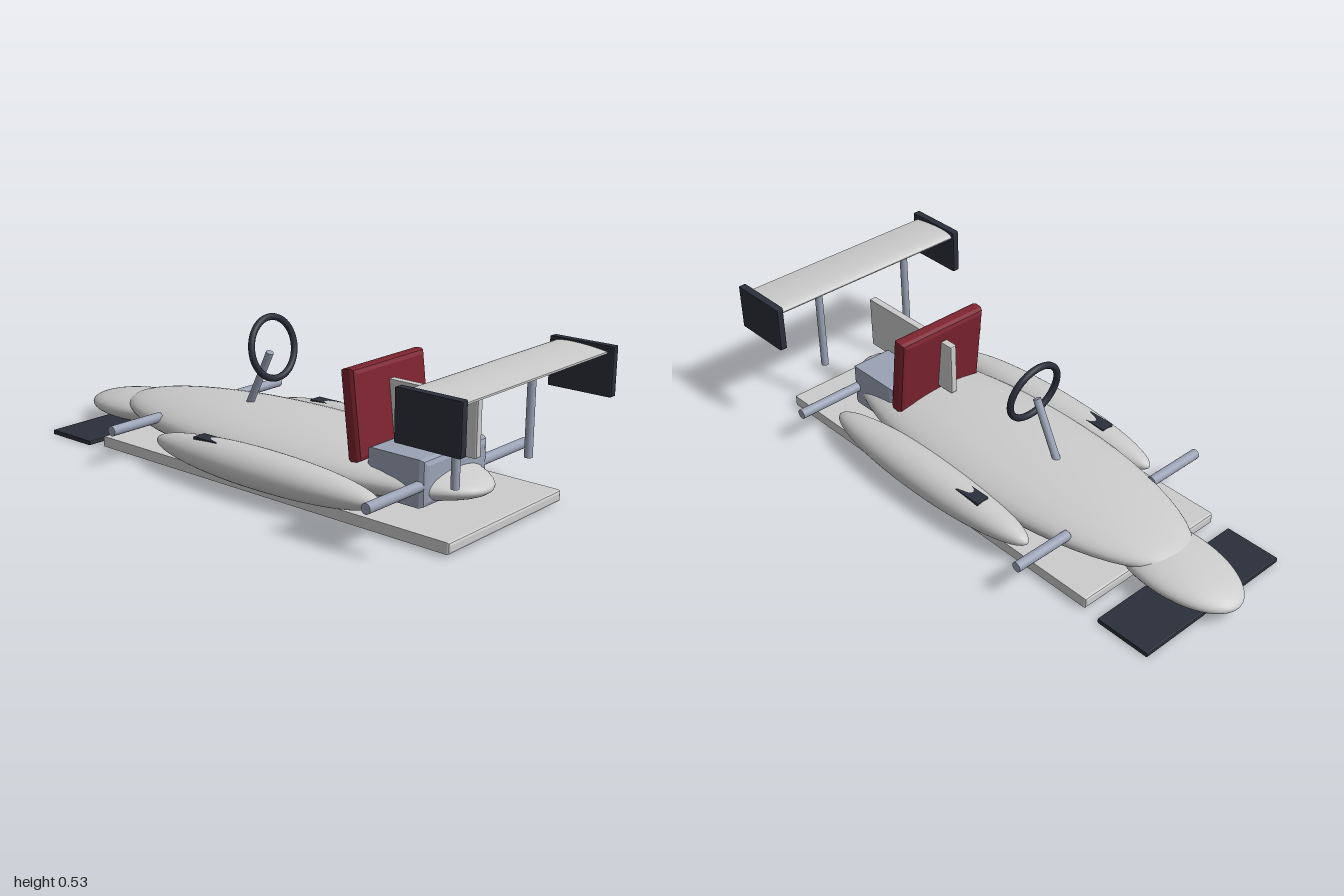
import * as THREE from 'three';

const material = (color) => new THREE.MeshStandardMaterial({ color });
const grey = material(0xcccccc);
const steel = material(0x9aa2b5);
const dark = material(0x2b2f3a);
const red = material(0x7d2430);

export function createModel() {
  const model = new THREE.Group();

  const add = (name, geometry, mat, x, y, z) => {
    const mesh = new THREE.Mesh(geometry, mat);
    mesh.name = name;
    mesh.position.set(x, y, z);
    model.add(mesh);
    return mesh;
  };

  // Block with chamfered edges, centred on its own origin
  const block = (w, h, d, bevel) => {
    const a = w / 2 - bevel, b = h / 2 - bevel;
    const shape = new THREE.Shape();
    shape.moveTo(-a, -b).lineTo(a, -b).lineTo(a, b).lineTo(-a, b).closePath();
    return new THREE.ExtrudeGeometry(shape, {
      depth: d - 2 * bevel, bevelEnabled: true, bevelSize: bevel,
      bevelThickness: bevel, bevelSegments: 2,
    }).translate(0, 0, bevel - d / 2);
  };

  // Ellipsoid with its poles along z
  const ellipsoid = (rx, ry, rz) =>
    new THREE.SphereGeometry(1, 40, 28).rotateX(Math.PI / 2).scale(rx, ry, rz);

  // Straight round bar between two points
  const rod = (name, from, to, radius, mat) => {
    const a = new THREE.Vector3(...from), b = new THREE.Vector3(...to);
    const dir = b.clone().sub(a);
    const mesh = add(name, new THREE.CylinderGeometry(radius, radius, dir.length(), 16), mat, 0, 0, 0);
    mesh.position.copy(a).add(b).multiplyScalar(0.5);
    mesh.quaternion.setFromUnitVectors(new THREE.Vector3(0, 1, 0), dir.normalize());
  };

  // Hull
  add('floor', block(0.61, 0.038, 1.53, 0.009), grey, 0, 0.031, 0.125);
  add('body', ellipsoid(0.27, 0.092, 0.8), grey, 0, 0.113, 0.02);
  const nose = add('nose', ellipsoid(0.14, 0.055, 0.26), grey, 0, 0.083, -0.74);
  nose.rotation.x = -0.07;
  add('frontWing', block(0.63, 0.016, 0.21, 0.004), dark, 0, 0.011, -0.805);

  // Engine, seat and fin
  add('engineBlock', block(0.34, 0.157, 0.23, 0.02), steel, 0, 0.144, 0.58);
  const seat = add('seatBack', block(0.37, 0.3, 0.06, 0.018), red, 0, 0.313, 0.412);
  seat.rotation.x = -0.125;
  add('fin', block(0.026, 0.194, 0.455, 0.006), grey, 0, 0.305, 0.547);

  // Steering
  const wheel = add('steeringWheel', new THREE.TorusGeometry(0.106, 0.012, 12, 40), dark, 0, 0.415, -0.085);
  wheel.rotation.x = -0.19;
  rod('steeringColumn', [0, 0.19, -0.2], [0, 0.395, -0.1], 0.014, steel);

  // Rear wing: aerofoil section swept across the width
  const foil = new THREE.Shape();
  foil.moveTo(-0.1, 0);
  foil.bezierCurveTo(-0.1, 0.025, 0.02, 0.018, 0.1, 0.003);
  foil.lineTo(0.1, -0.003);
  foil.bezierCurveTo(0.02, -0.018, -0.1, -0.022, -0.1, 0);
  const foilGeometry = new THREE.ExtrudeGeometry(foil, { depth: 0.8, bevelEnabled: false, curveSegments: 16 })
    .translate(0, 0, -0.4).rotateY(-Math.PI / 2);
  add('rearWing', foilGeometry, grey, 0, 0.503, 0.875);

  // Mirrored parts
  for (const [side, s] of [['left', 1], ['right', -1]]) {
    add(side + 'SidePod', ellipsoid(0.083, 0.067, 0.49), grey, s * 0.291, 0.098, 0.13);
    add(side + 'PodInlet', block(0.05, 0.05, 0.11, 0.004), dark, s * 0.297, 0.132, -0.1);
    rod(side + 'FrontAxle', [s * 0.2, 0.136, -0.45], [s * 0.425, 0.136, -0.45], 0.018, steel);
    rod(side + 'RearAxle', [s * 0.14, 0.136, 0.672], [s * 0.425, 0.136, 0.672], 0.018, steel);
    rod(side + 'WingPost', [s * 0.198, 0.175, 0.828], [s * 0.198, 0.471, 0.828], 0.014, steel);
    add(side + 'WingEndPlate', block(0.027, 0.165, 0.235, 0.006), dark, s * 0.406, 0.443, 0.882);
  }

  return model;
}
